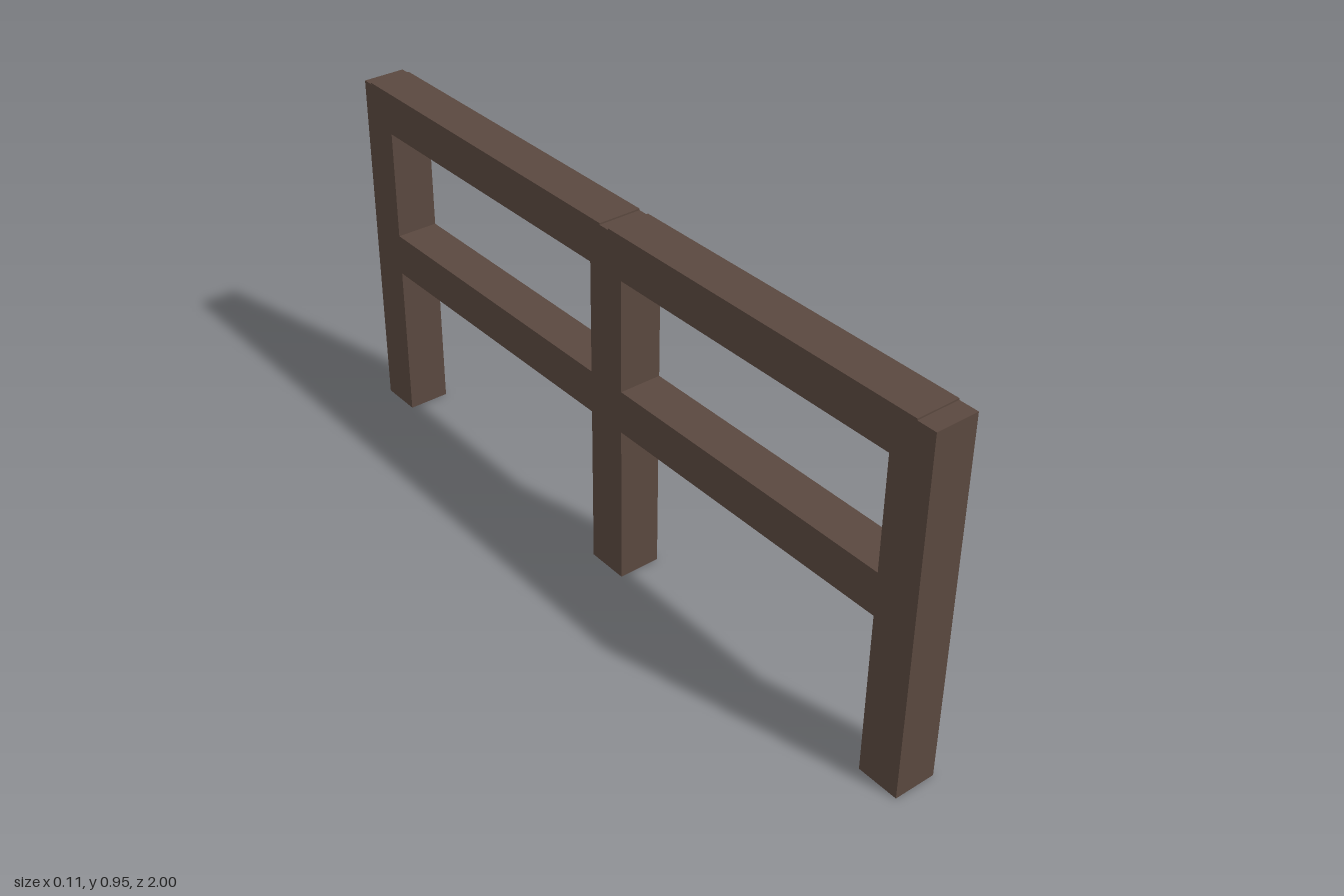
import * as THREE from 'three';

const THICK = 0.112;        // square section shared by posts and rails
const POST_HEIGHT = 0.942;
const HALF_LENGTH = 1;

export function createModel() {
  const fence = new THREE.Group();
  fence.name = 'fence';
  const wood = new THREE.MeshStandardMaterial({ color: 0x5a483f, flatShading: true });

  const addBeam = (name, height, length, y, z) => {
    const beam = new THREE.Mesh(new THREE.BoxGeometry(THICK, height, length), wood);
    beam.name = name;
    beam.position.set(0, y, z);
    fence.add(beam);
  };

  // Three upright posts
  const end = HALF_LENGTH - THICK / 2;
  [['frontPost', end], ['middlePost', 0], ['backPost', -end]].forEach(([name, z]) =>
    addBeam(name, POST_HEIGHT, THICK, POST_HEIGHT / 2, z));

  // Two rails per bay, let into the posts; the top ones stand just proud of them
  [['front', 0.95, 0.01], ['back', -0.02, -0.97]].forEach(([bay, z0, z1]) => {
    addBeam(bay + 'TopRail', THICK, z0 - z1, 0.89, (z0 + z1) / 2);
    addBeam(bay + 'MiddleRail', THICK, z0 - z1, 0.485, (z0 + z1) / 2);
  });

  return fence;
}
